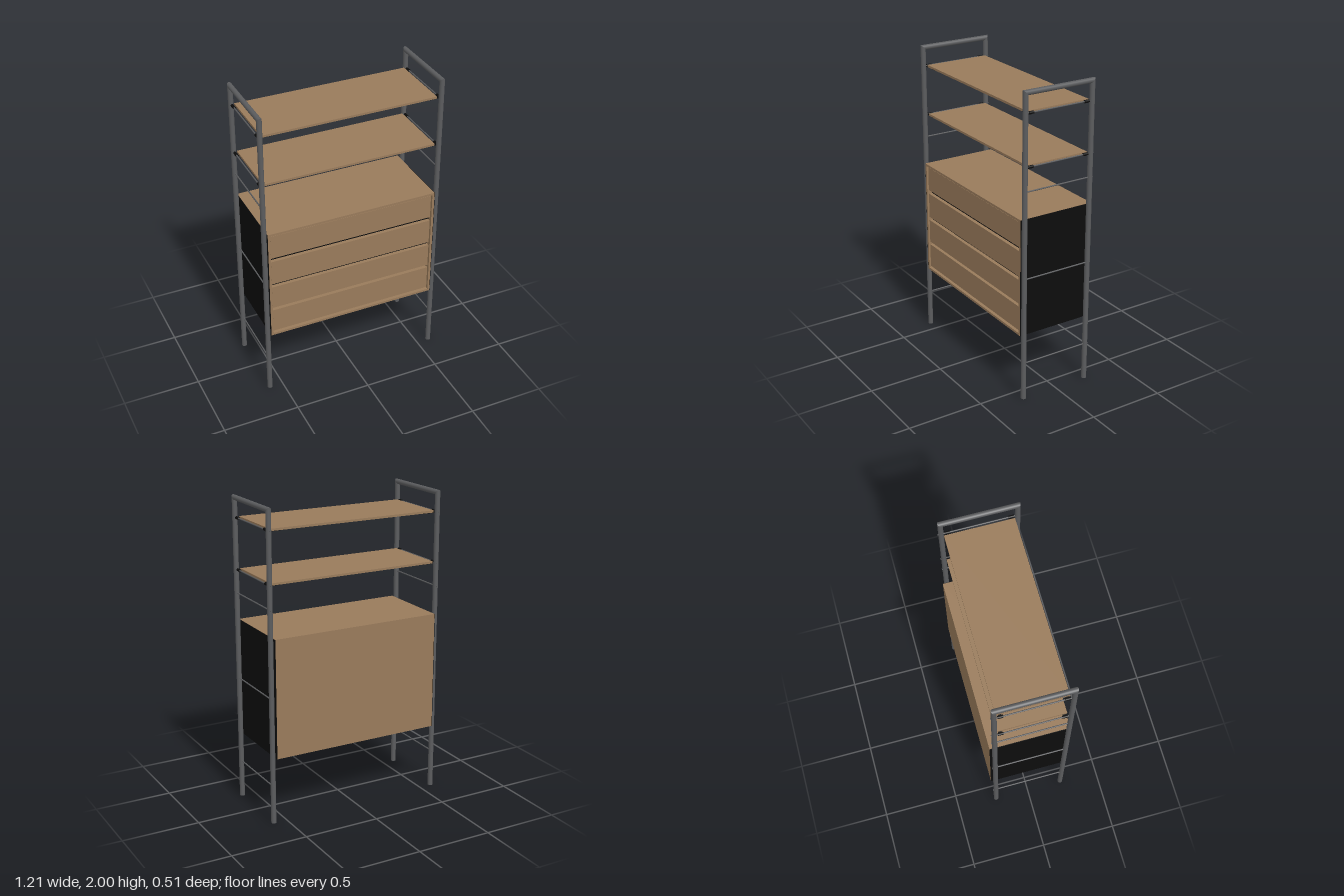
import * as THREE from 'three';

const mat = (name, color) => {
  const m = new THREE.MeshStandardMaterial({ color });
  m.name = name;
  return m;
};

export function createModel() {
  const root = new THREE.Group();
  root.name = 'shelvingUnit';
  const wood = mat('wood', 0x997b5b);
  const steel = mat('grey steel', 0x5b5c5e);
  const black = mat('black', 0x0d0d0d);

  const add = (name, geo, material, x, y, z, parent = root) => {
    const m = new THREE.Mesh(geo, material);
    m.name = name;
    m.position.set(x, y, z);
    parent.add(m);
    return m;
  };
  // Box given by its minimum and maximum corners
  const box = (name, material, x0, x1, y0, y1, z0, z1, parent = root) =>
    add(name, new THREE.BoxGeometry(x1 - x0, y1 - y0, z1 - z0), material,
      (x0 + x1) / 2, (y0 + y1) / 2, (z0 + z1) / 2, parent);

  const X = 0.587, R = 0.0165, H = 2 - R, ZF = 0.239, ZB = -0.228;

  // Post with its top cut at 45 degrees to meet the rail
  const postGeometry = (dir) => {
    const g = new THREE.CylinderGeometry(R, R, H, 20);
    g.translate(0, H / 2, 0);
    const p = g.attributes.position;
    for (let i = 0; i < p.count; i++)
      if (p.getY(i) > H / 2) p.setY(i, H + p.getZ(i) * dir);
    return g;
  };
  // Top rail with both ends mitred
  const railGeometry = () => {
    const g = new THREE.CylinderGeometry(R, R, ZF - ZB, 20);
    g.rotateX(Math.PI / 2);
    g.translate(0, 0, (ZF + ZB) / 2);
    const p = g.attributes.position;
    for (let i = 0; i < p.count; i++) {
      const front = p.getZ(i) > 0.1;
      p.setZ(i, front ? ZF + p.getY(i) : ZB - p.getY(i));
    }
    return g;
  };

  const shelfLevels = [1.535, 1.862];
  for (const s of [1, -1]) {
    // Ladder frame
    const frame = new THREE.Group();
    frame.name = s > 0 ? 'leftFrame' : 'rightFrame';
    root.add(frame);
    add('frontPost', postGeometry(1), steel, s * X, 0, ZF, frame);
    add('backPost', postGeometry(-1), steel, s * X, 0, ZB, frame);
    add('topRail', railGeometry(), steel, s * X, H, 0, frame);

    // Thin cross rods, poking out just behind the back post
    for (const y of [0.247, 0.82, 1.383, ...shelfLevels]) {
      const len = ZF + 0.248;
      const rod = add('crossRod', new THREE.CylinderGeometry(0.0045, 0.0045, len, 10),
        steel, s * X, y, (ZF - 0.248) / 2, frame);
      rod.rotation.x = Math.PI / 2;
    }

    // Clips that hold the shelves on the rods
    for (const y of shelfLevels) for (const z of [0.2, -0.19]) {
      const clip = new THREE.Group();
      clip.name = 'shelfClip';
      root.add(clip);
      const sleeve = add('clipSleeve', new THREE.CylinderGeometry(0.009, 0.009, 0.034, 12),
        black, s * X, y, z, clip);
      sleeve.rotation.x = Math.PI / 2;
      add('clipArm', new THREE.BoxGeometry(0.09, 0.005, 0.022), black,
        s * 0.54, y - 0.0095, z, clip);
    }
  }

  // Open shelves
  for (const y of shelfLevels)
    box('shelf', wood, -0.57, 0.57, y - 0.007, y + 0.007, -0.214, 0.218);

  // Cabinet shell
  const cabinet = new THREE.Group();
  cabinet.name = 'cabinet';
  root.add(cabinet);
  box('cabinetTop', wood, -0.568, 0.568, 1.19, 1.205, -0.256, 0.256, cabinet);
  box('cabinetBottom', wood, -0.568, 0.568, 0.435, 0.45, -0.256, 0.256, cabinet);
  box('cabinetBack', wood, -0.568, 0.568, 0.45, 1.19, -0.256, -0.241, cabinet);
  box('cabinetInterior', black, -0.553, 0.553, 0.45, 1.19, -0.241, 0.222, cabinet);
  for (const s of [1, -1]) {
    const a = s * 0.553, b = s * 0.568, c = s * 0.571;
    box('cabinetSide', wood, Math.min(a, b), Math.max(a, b), 0.45, 1.19, -0.241, 0.256, cabinet);
    box('sidePanel', black, Math.min(b, c), Math.max(b, c), 0.435, 1.203, -0.256, 0.255, cabinet);
  }

  // Drawer fronts, with dark finger gaps between them
  for (const [y0, y1] of [[0.461, 0.623], [0.643, 0.802], [0.826, 0.994], [1.02, 1.181]])
    box('drawerFront', wood, -0.549, 0.549, y0, y1, 0.222, 0.246, cabinet);

  return root;
}
